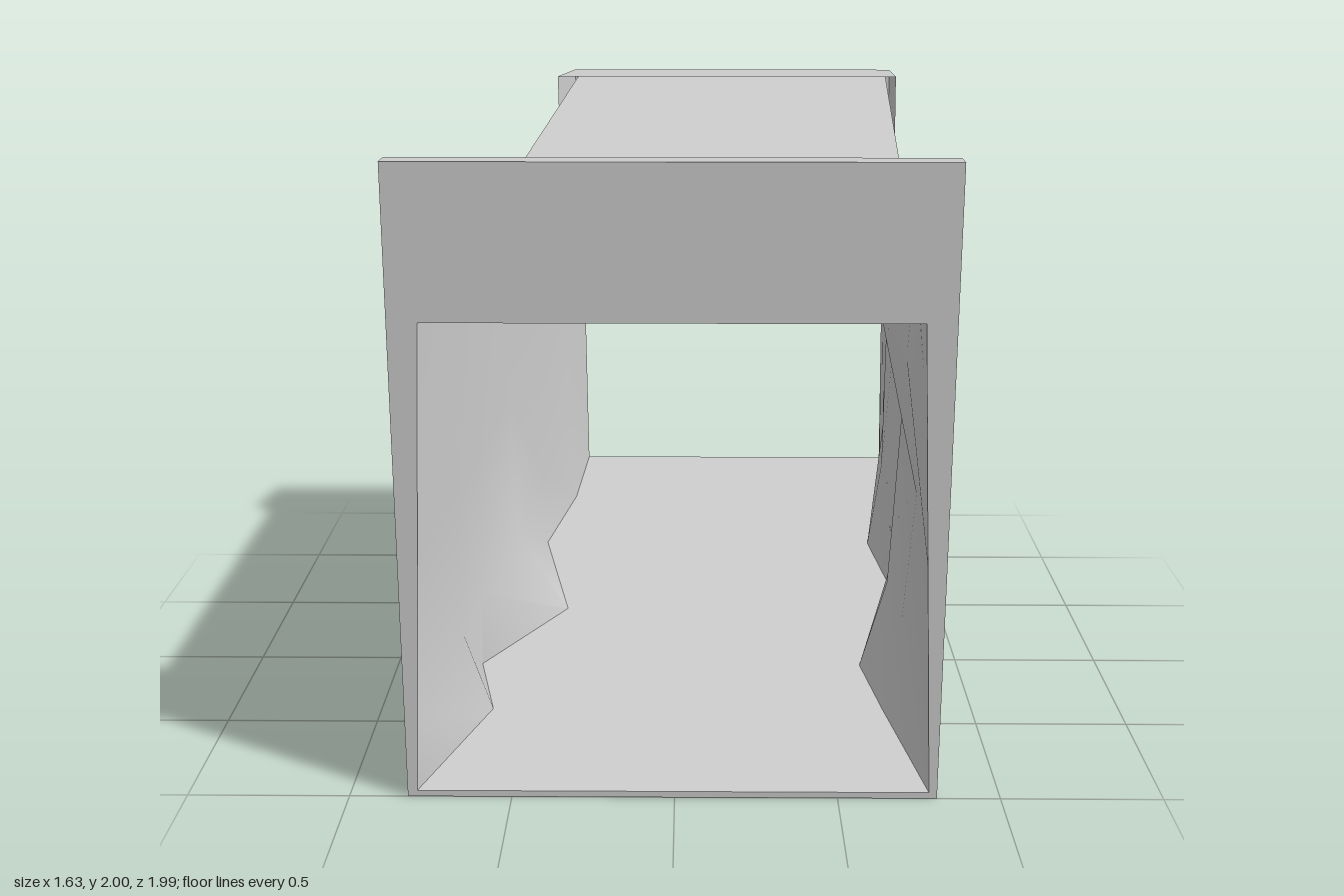
import * as THREE from 'three';
import { toCreasedNormals } from 'three/addons/utils/BufferGeometryUtils.js';

const mat = new THREE.MeshStandardMaterial({ color: 0xcccccc, side: THREE.DoubleSide });
const lerp = THREE.MathUtils.lerp;

// Skin a series of closed rings that all have the same number of points
function skin(name, rings, crease) {
  const n = rings[0].length, index = [];
  for (let r = 0; r < rings.length - 1; r++) {
    for (let i = 0; i < n; i++) {
      const a = r * n + i, b = r * n + (i + 1) % n;
      index.push(a, a + n, b, b, a + n, b + n);
    }
  }
  const geo = new THREE.BufferGeometry();
  geo.setAttribute('position', new THREE.Float32BufferAttribute(rings.flat(2), 3));
  geo.setIndex(index);
  const mesh = new THREE.Mesh(toCreasedNormals(geo, crease), mat);
  mesh.name = name;
  return mesh;
}

// Four corners: top left x, top right x, bottom right x, bottom left x, then heights and depths
const quad = (tl, tr, br, bl, yTop, yBot, zTop, zBot) => [
  [tl, yTop, zTop], [tr, yTop, zTop], [br, yBot, zBot], [bl, yBot, zBot],
];

// Openings of the tunnel, flush with the outer faces of both frames
const frontEnd = quad(-0.73, 0.715, 0.78, -0.79, 1.5, 0.02, 1, 1);
const backEnd = quad(-0.385, 0.785, 0.795, -0.36, 1.98, 0.485, -0.99, -0.85);

// Stations along the tunnel: fraction, inward push of the left and right floor edge, push of the upper right wall
const stations = [
  [0, 0, 0, 0], [0.2, 0.11, 0.11, 0.03], [0.32, 0, 0.17, 0.09], [0.48, 0.2, 0, 0.02],
  [0.69, 0.01, 0.09, 0], [0.85, 0.03, 0.02, 0], [1, 0, 0, 0],
];

function tunnelRing([t, left, right, dent]) {
  const [tl, tr, br, bl] = frontEnd.map((p, i) => p.map((v, k) => lerp(v, backEnd[i][k], t)));
  const between = (a, b, f, push = 0) => {
    const p = a.map((v, k) => lerp(v, b[k], f));
    p[0] += push;
    return p;
  };
  const floorLeft = between(bl, br, 0, left), floorRight = between(bl, br, 1, -right);
  return [
    tl, tr,
    between(tr, br, 0.2, -dent), between(tr, br, 0.5), between(tr, br, 0.8, -right * 0.45),
    floorRight, floorLeft,
    between(tl, bl, 0.83, left * 0.15), between(tl, bl, 0.5),
  ];
}

export function createModel() {
  const group = new THREE.Group();
  group.name = 'tunnel';

  // Slanted tunnel with crumpled lower edges
  group.add(skin('tunnelWalls', stations.map(tunnelRing), 0.9));

  // Tall front plate with a tapered opening and a lip folded back
  group.add(skin('frontFrame', [
    quad(-0.82, 0.805, 0.805, -0.82, 1.96, 0.03, 0.92, 0.92),
    quad(-0.82, 0.805, 0.805, -0.82, 1.96, 0, 1, 1),
    frontEnd,
  ], 0.3));

  // Leaning rear collar with a lip folded forward
  group.add(skin('rearFrame', [
    quad(-0.45, 0.8, 0.815, -0.42, 2, 0.41, -0.75, -0.63),
    quad(-0.4, 0.8, 0.815, -0.38, 2, 0.47, -0.99, -0.85),
    backEnd,
  ], 0.3));

  return group;
}
